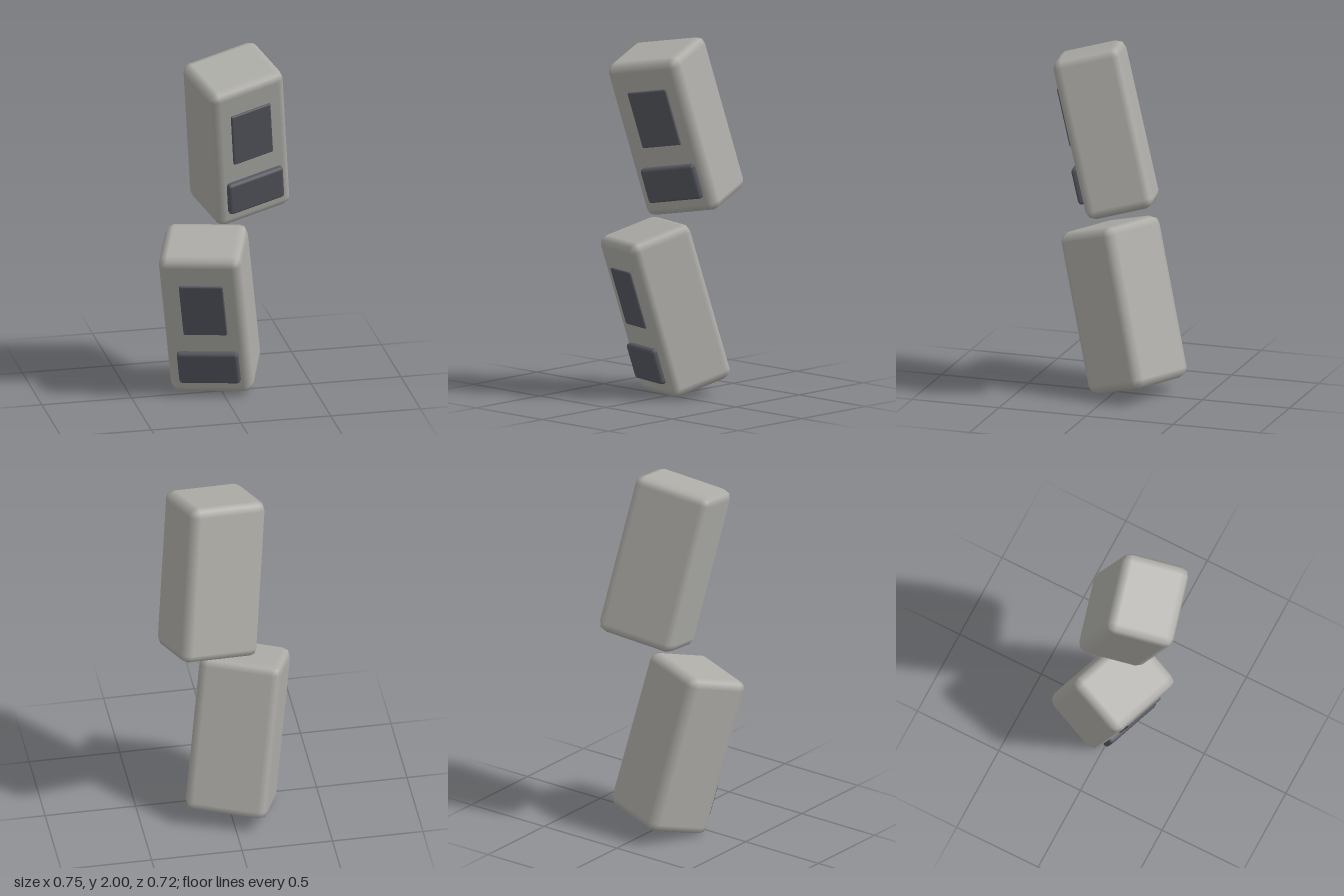
import * as THREE from 'three';
import { RoundedBoxGeometry } from 'three/addons/geometries/RoundedBoxGeometry.js';

const SIZE = [0.455, 0.9, 0.38];

export function createModel() {
  const bodyGrey = new THREE.MeshStandardMaterial({ color: 0xaeada8 });
  bodyGrey.name = 'bodyGrey';
  const panelGrey = new THREE.MeshStandardMaterial({ color: 0x56585f });
  panelGrey.name = 'panelGrey';

  const block = (name, material, [w, h, d], radius, [x, y, z]) => {
    const mesh = new THREE.Mesh(new RoundedBoxGeometry(w, h, d, 1, radius), material);
    mesh.name = name;
    mesh.position.set(x, y, z);
    return mesh;
  };

  // One upright casing with two raised panels on its front
  const casing = (name, centre, across, up) => {
    const unit = new THREE.Group();
    unit.name = name;
    const front = SIZE[2] / 2;
    unit.add(
      block('body', bodyGrey, SIZE, 0.05, [0, 0, 0]),
      block('upperPanel', panelGrey, [0.242, 0.327, 0.036], 0.008, [0, 0.123, front - 0.006]),
      block('lowerPanel', panelGrey, [0.338, 0.202, 0.06], 0.018, [0, -0.257, front]),
    );
    // Tilt from the casing's own width and height directions
    const u = new THREE.Vector3(...up).normalize();
    const n = new THREE.Vector3(...across).cross(u).normalize();
    const v = u.clone().cross(n);
    unit.quaternion.setFromRotationMatrix(new THREE.Matrix4().makeBasis(v, u, n));
    unit.position.set(...centre);
    return unit;
  };

  const model = new THREE.Group();
  model.name = 'stackedCasings';
  model.add(
    casing('upperCasing', [0.077, 1.508, 0.028], [0.4, 0.075, -0.1], [-0.09, 0.83, 0.23]),
    casing('lowerCasing', [-0.06, 0.482, -0.03], [0.385, 0.02, 0.145], [-0.12, 0.835, 0.21]),
  );
  return model;
}
